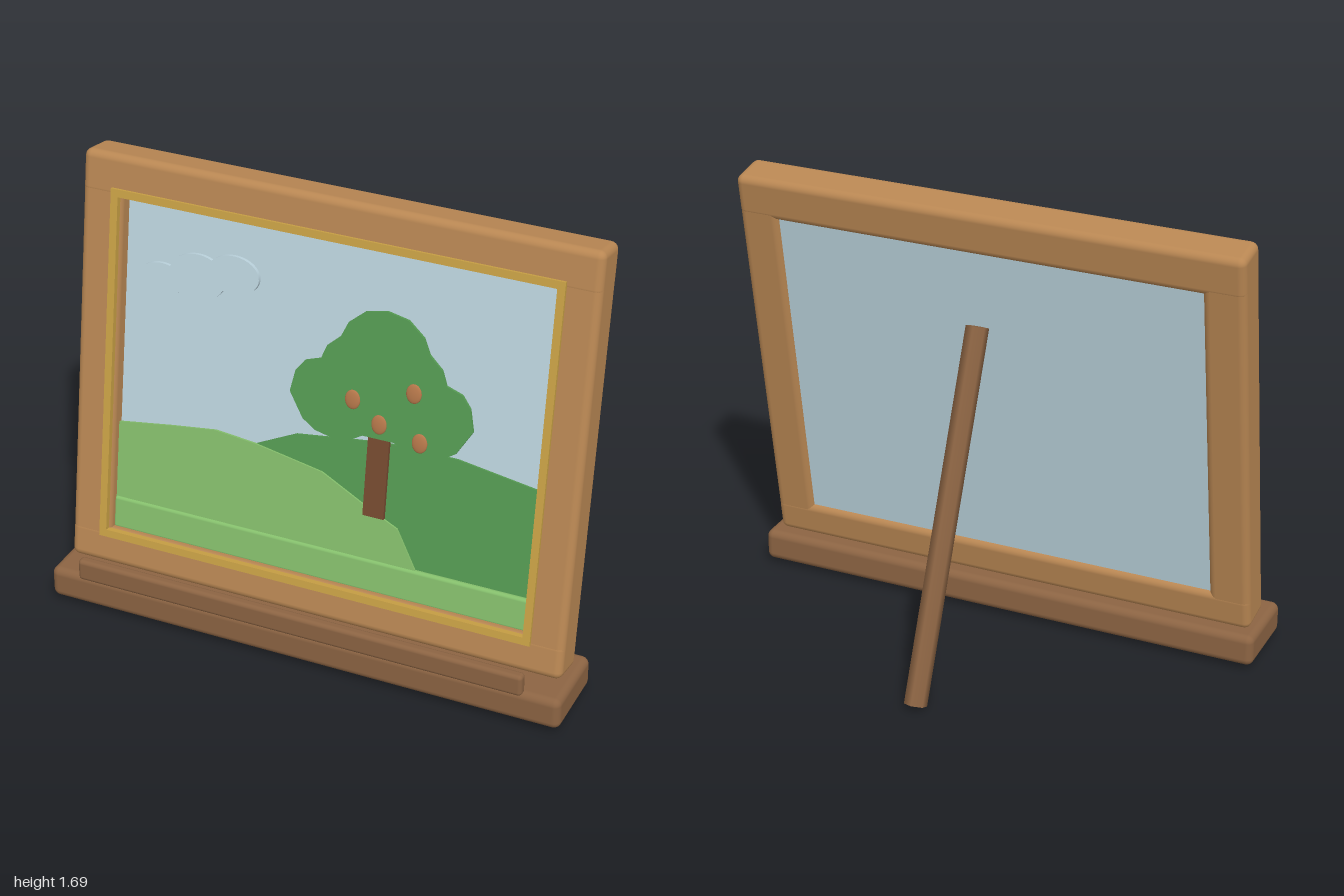
import * as THREE from 'three';
import { RoundedBoxGeometry } from 'three/addons/geometries/RoundedBoxGeometry.js';

const mat = (name, color) => Object.assign(new THREE.MeshStandardMaterial({ color }), { name });

export function createModel() {
  const root = new THREE.Group();
  root.name = 'picture on easel stand';

  const wood = mat('frame wood', 0xb98753);
  const darkWood = mat('stand wood', 0x8c6443);
  const brass = mat('brass', 0xc9a145);
  const sky = mat('sky', 0xbcd4de);
  const lightGreen = mat('light grass', 0x85bf6c);
  const darkGreen = mat('dark green', 0x559a52);
  const bark = mat('bark', 0x754a30);
  const fruitColor = mat('fruit', 0xb5774a);

  const add = (parent, name, geometry, material, x = 0, y = 0, z = 0) => {
    const mesh = new THREE.Mesh(geometry, material);
    mesh.name = name;
    mesh.position.set(x, y, z);
    parent.add(mesh);
    return mesh;
  };
  const rounded = (w, h, d, r) => new RoundedBoxGeometry(w, h, d, 3, r);

  // Stand: base, front lip and six-sided rear prop
  add(root, 'base', rounded(2, 0.122, 0.312, 0.028), darkWood, 0, 0.079, 0.373);
  add(root, 'front lip', rounded(1.736, 0.084, 0.042, 0.015), darkWood, 0, 0.183, 0.534);
  const top = new THREE.Vector3(0, 1.272, 0.014);
  const foot = new THREE.Vector3(0, 0.017, -0.513);
  const axis = top.clone().sub(foot);
  const prop = add(root, 'rear prop', new THREE.CylinderGeometry(0.042, 0.042, axis.length(), 6), darkWood);
  prop.position.copy(top).add(foot).multiplyScalar(0.5);
  prop.rotation.x = Math.atan2(axis.z, axis.y);

  // Everything framed leans back together
  const TILT = 0.16, CY = 0.915;
  const picture = new THREE.Group();
  picture.name = 'leaning picture';
  picture.position.set(0, CY, 0.2325);
  picture.rotation.x = -TILT;
  root.add(picture);
  // Converts an upright height into height along the leaning plane
  const up = (y, z = 0.03) => (y - CY - Math.sin(TILT) * z) / Math.cos(TILT);

  // Frame rails
  const W = 1.93, H = 1.565, D = 0.155, SIDE = 0.156;
  const crossRail = (name, s, t) =>
    add(picture, name, rounded(W, t, D, 0.028), wood, 0, s * (H - t) / 2, 0);
  crossRail('top rail', 1, 0.162);
  crossRail('bottom rail', -1, 0.14);
  for (const s of [-1, 1])
    add(picture, s > 0 ? 'left rail' : 'right rail', rounded(SIDE, H - 0.08, D - 0.002, 0.028), wood,
      s * (W - SIDE) / 2, 0, 0);

  // Brass trim around the opening
  const rect = (path, x, a, b) => path.moveTo(-x, a).lineTo(x, a).lineTo(x, b).lineTo(-x, b).closePath();
  const y0 = up(0.265, 0.08), y1 = up(1.58, 0.08), T = 0.028;
  const trim = rect(new THREE.Shape(), 0.845, y0, y1);
  trim.holes.push(rect(new THREE.Path(), 0.845 - T, y0 + T, y1 - T));
  add(picture, 'brass trim', new THREE.ExtrudeGeometry(trim, { depth: 0.025, bevelEnabled: false }), brass, 0, 0, 0.064);

  // Painted scene: backing panel and flat layers
  add(picture, 'sky panel', new THREE.BoxGeometry(1.67, 1.33, 0.075), sky, 0, 0, -0.0225);

  const layer = (name, points, material, z, depth) => {
    const shape = new THREE.Shape(points.map(([x, y]) => new THREE.Vector2(x, up(y))));
    add(picture, name, new THREE.ExtrudeGeometry(shape, { depth, bevelEnabled: false }), material, 0, 0, z);
  };
  layer('far hill', [[-0.4, 0.3], [0.815, 0.3], [0.815, 0.8], [0.5, 0.845], [0.25, 0.845], [0.13, 0.832],
    [-0.11, 0.8], [-0.27, 0.725], [-0.4, 0.68]], darkGreen, 0.014, 0.01);
  layer('near hill', [[-0.815, 0.3], [0.42, 0.3], [0.38, 0.4], [0.3, 0.54], [0.18, 0.595], [0, 0.685],
    [-0.26, 0.73], [-0.42, 0.745], [-0.6, 0.722], [-0.815, 0.69]], lightGreen, 0.022, 0.01);
  add(picture, 'grass strip', rounded(1.63, 0.125, 0.04, 0.012), lightGreen, 0, up(0.34), 0.02);

  // Tree: trunk, lobed crown (mirrored about its middle) and fruit
  const TX = 0.21;
  add(picture, 'trunk', new THREE.BoxGeometry(0.08, 0.3, 0.014), bark, TX, up(0.715), 0.035);
  const half = [[0.06, 0.862], [0.1, 0.838], [0.16, 0.825], [0.24, 0.842], [0.29, 0.875], [0.345, 0.965],
    [0.328, 1.045], [0.295, 1.088], [0.235, 1.108], [0.215, 1.16], [0.165, 1.205], [0.14, 1.26], [0.08, 1.31]];
  const crown = [
    ...half.map(([x, y]) => [TX + x, y]),
    [TX, 1.326],
    ...half.slice().reverse().map(([x, y]) => [TX - x, y]),
  ];
  layer('tree crown', crown, darkGreen, 0.036, 0.011);
  for (const [x, y] of [[0.105, 0.986], [0.33, 1.056], [0.21, 0.916], [0.365, 0.882]])
    add(picture, 'fruit', new THREE.SphereGeometry(1, 20, 12), fruitColor, x, up(y), 0.048).scale.set(0.029, 0.036, 0.008);

  // Cloud: three overlapping flat ovals
  const disc = new THREE.CylinderGeometry(1, 1, 1, 32).rotateX(Math.PI / 2);
  for (const [x, y, rx, ry] of [[-0.665, 1.26, 0.09, 0.06], [-0.525, 1.295, 0.11, 0.084], [-0.385, 1.33, 0.1, 0.07]])
    add(picture, 'cloud puff', disc, sky, x, up(y), 0.022).scale.set(rx, ry, 0.016);

  return root;
}
